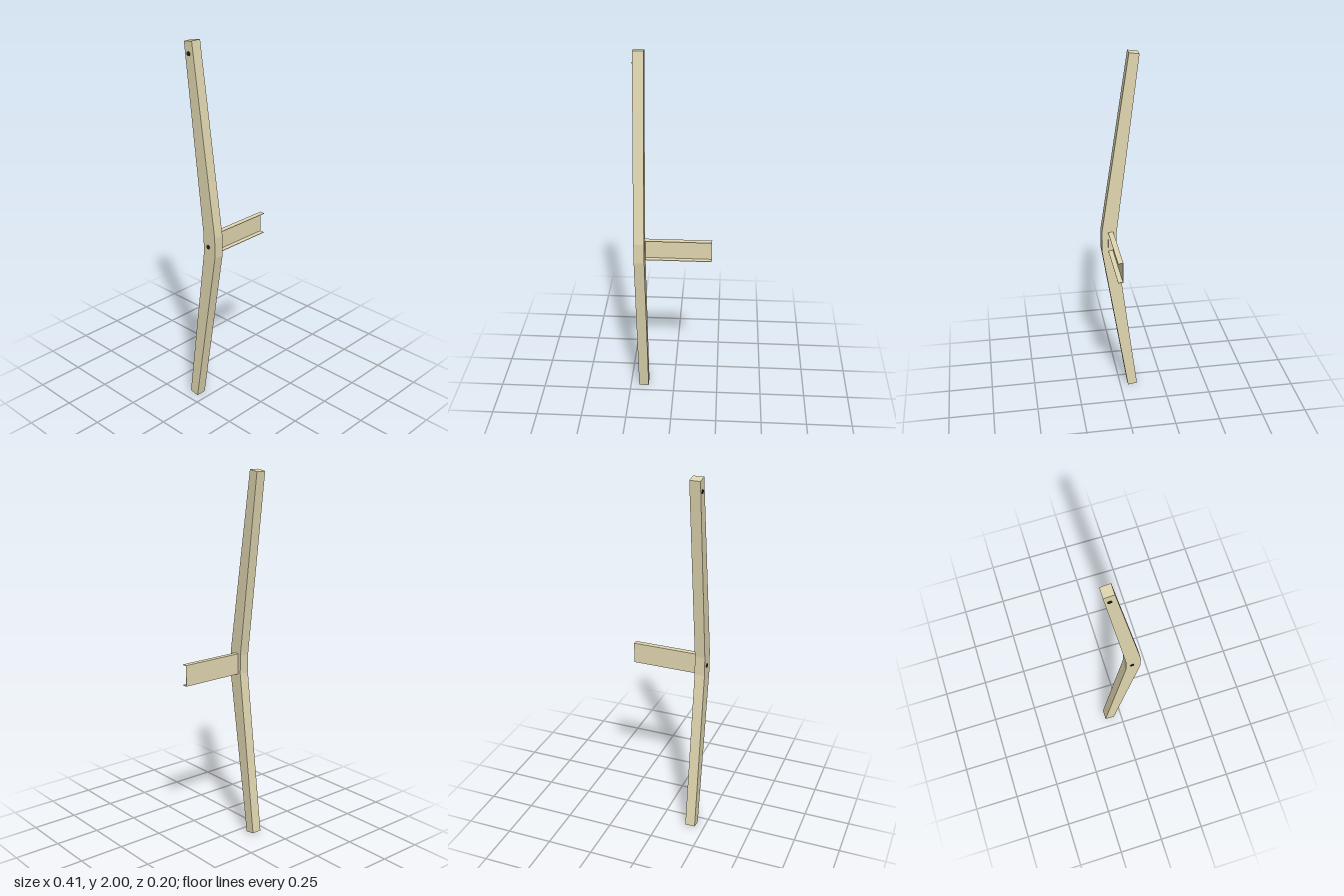
import * as THREE from 'three';

export function createModel() {
  const model = new THREE.Group();
  const cream = new THREE.MeshStandardMaterial({ color: 0xe0d6b0, side: THREE.DoubleSide });
  const dark = new THREE.MeshStandardMaterial({ color: 0x222222 });

  const add = (name, geometry, material, x, y, z) => {
    const mesh = new THREE.Mesh(geometry, material);
    mesh.name = name;
    mesh.position.set(x, y, z);
    model.add(mesh);
    return mesh;
  };

  // Bent post: side profile in (z, y), extruded across x
  const profile = [
    [-0.045, 0], [0.1, 0.905], [0.1, 1.02], [-0.045, 2],
    [-0.098, 1.992], [0.02, 1.015], [0.02, 0.91], [-0.098, 0.008],
  ].map(([z, y]) => new THREE.Vector2(z, y));
  const post = new THREE.ExtrudeGeometry(new THREE.Shape(profile), { depth: 0.055, bevelEnabled: false });
  post.rotateY(-Math.PI / 2);
  add('bentPost', post, cream, -0.147, 0, 0);

  // Channel arm, open to the front
  const left = -0.147, right = 0.205, bottom = 0.907, top = 1.021;
  const back = 0.038, front = 0.066, t = 0.003;
  const length = right - left, midX = (left + right) / 2;
  const midY = (bottom + top) / 2, midZ = (back + front) / 2;
  add('armWeb', new THREE.BoxGeometry(length, top - bottom, t), cream, midX, midY, back + t / 2);
  for (const [name, y] of [['armTopFlange', top - t / 2], ['armBottomFlange', bottom + t / 2]]) {
    add(name, new THREE.BoxGeometry(length, t, front - back), cream, midX, y, midZ);
  }
  add('armEndPlate', new THREE.BoxGeometry(t, top - bottom, front - back), cream, left + t / 2, midY, midZ);

  // Bolt heads on the outer side of the post
  for (const [name, y, z] of [['upperBolt', 1.935, -0.068], ['lowerBolt', 0.957, 0.053]]) {
    add(name, new THREE.CylinderGeometry(0.011, 0.011, 0.006, 16), dark, -0.202, y, z).rotation.z = Math.PI / 2;
  }

  return model;
}
